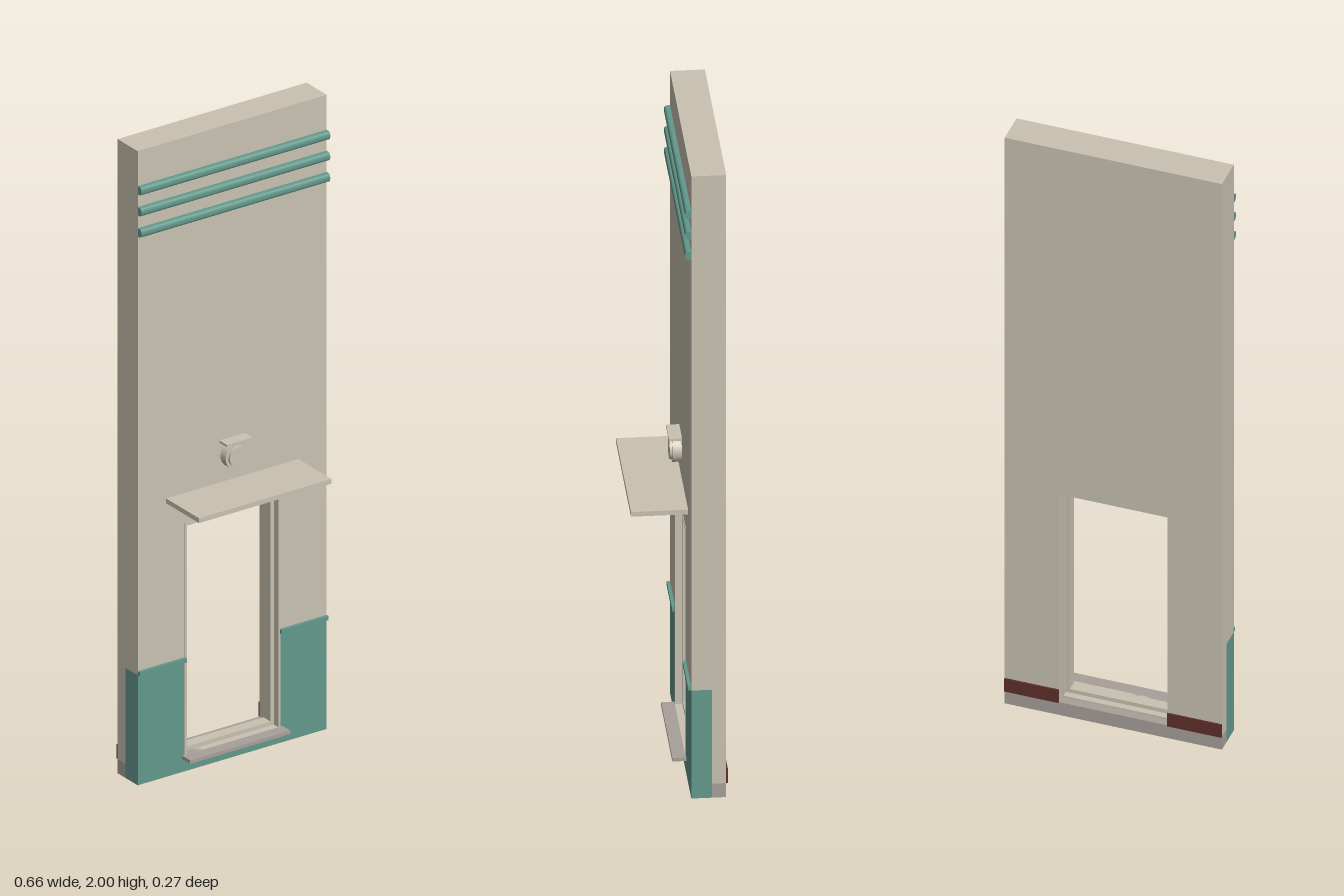
import * as THREE from 'three';

const mat = (name, color, side = THREE.FrontSide) => {
  const m = new THREE.MeshStandardMaterial({ color, side });
  m.name = name;
  return m;
};

export function createModel() {
  const model = new THREE.Group();
  model.name = 'wallWithDoorway';
  const plaster = mat('beigePlaster', 0xc9c2b2);
  const teal = mat('tealPaint', 0x64998c);
  const stone = mat('greyStone', 0xa8a09a);
  const brown = mat('brownSkirting', 0x5e302a);

  const W = 0.33, BACK = -0.13, MID = -0.09, FRONT = -0.03;
  const DOOR = 0.165, FLOOR = 0.045, HEAD = 0.78, DADO = 0.347;

  const add = (name, geometry, material) => {
    const mesh = new THREE.Mesh(geometry, material);
    mesh.name = name;
    model.add(mesh);
    return mesh;
  };
  // Box given by its limits on each axis
  const box = (name, material, x0, x1, y0, y1, z0, z1) => {
    const g = new THREE.BoxGeometry(x1 - x0, y1 - y0, z1 - z0);
    g.translate((x0 + x1) / 2, (y0 + y1) / 2, (z0 + z1) / 2);
    return add(name, g, material);
  };
  // Outline in x and y, extruded from z0 to z1
  const slab = (name, material, pts, z0, z1) => {
    const shape = new THREE.Shape(pts.map(([x, y]) => new THREE.Vector2(x, y)));
    const g = new THREE.ExtrudeGeometry(shape, { depth: z1 - z0, bevelEnabled: false });
    g.translate(0, 0, z0);
    return add(name, g, material);
  };
  // Wall layer with the doorway cut from its lower edge
  const arch = (y0) => [
    [-W, y0], [-DOOR, y0], [-DOOR, HEAD], [DOOR, HEAD],
    [DOOR, y0], [W, y0], [W, 2], [-W, 2],
  ];

  // Wall, base slab and painted dado
  slab('innerWall', plaster, arch(FLOOR), BACK, MID);
  slab('outerWall', plaster, arch(DADO), MID, FRONT);
  box('floorSlab', stone, -W, W, 0, FLOOR, BACK, MID);
  slab('dado', teal, [
    [-W, 0], [W, 0], [W, DADO], [DOOR, DADO],
    [DOOR, FLOOR], [-DOOR, FLOOR], [-DOOR, DADO], [-W, DADO],
  ], MID, FRONT);

  for (const s of [-1, 1]) {
    const a = Math.min(s * DOOR, s * W), b = Math.max(s * DOOR, s * W);
    box('dadoCap', teal, a, b, DADO, 0.36, FRONT - 0.002, -0.02);
    box('skirting', brown, a, b, FLOOR, 0.09, BACK - 0.005, BACK);
  }

  // Three rounded bands near the top
  for (const y of [1.877, 1.811, 1.744]) {
    const profile = new THREE.Shape();
    const r = 0.013;
    profile.moveTo(0, -r);
    profile.lineTo(0.008, -r);
    profile.quadraticCurveTo(0.018, -r, 0.018, 0);
    profile.quadraticCurveTo(0.018, r, 0.008, r);
    profile.lineTo(0, r);
    const g = new THREE.ExtrudeGeometry(profile, { depth: 2 * W, bevelEnabled: false, curveSegments: 5 });
    g.rotateY(-Math.PI / 2);
    g.translate(W, y, FRONT);
    add('band', g, teal);
  }

  // Door lining and the stop frame inside it
  const frame = (name, outer, inner, top, innerTop, bottom, innerBottom, z0, z1) => {
    const shape = new THREE.Shape([
      new THREE.Vector2(-outer, bottom), new THREE.Vector2(outer, bottom),
      new THREE.Vector2(outer, top), new THREE.Vector2(-outer, top),
    ]);
    shape.holes.push(new THREE.Path([
      new THREE.Vector2(-inner, innerBottom), new THREE.Vector2(-inner, innerTop),
      new THREE.Vector2(inner, innerTop), new THREE.Vector2(inner, innerBottom),
    ]));
    const g = new THREE.ExtrudeGeometry(shape, { depth: z1 - z0, bevelEnabled: false });
    g.translate(0, 0, z0);
    add(name, g, plaster);
  };
  frame('doorLining', 0.168, 0.16, 0.782, 0.774, FLOOR, 0.052, -0.105, FRONT + 0.002);
  frame('doorStop', 0.161, 0.148, 0.775, 0.763, 0.05, 0.065, -0.085, -0.05);

  // Threshold and canopy
  box('threshold', stone, -0.175, 0.175, 0.041, 0.052, FRONT - 0.03, 0.01);
  box('canopy', plaster, -0.231, 0.231, 0.863, 0.878, FRONT, 0.134);

  // Wall lamp with a small hood
  const disc = (name, r, z0, z1) => {
    const g = new THREE.CylinderGeometry(r, r, z1 - z0, 24);
    g.rotateX(Math.PI / 2);
    g.translate(0, 0.96, (z0 + z1) / 2);
    add(name, g, plaster);
  };
  disc('lampBase', 0.041, FRONT, -0.004);
  disc('lampLens', 0.032, -0.004, 0.004);
  box('lampHood', plaster, -0.045, 0.045, 1.004, 1.011, FRONT, 0.008);

  return model;
}
